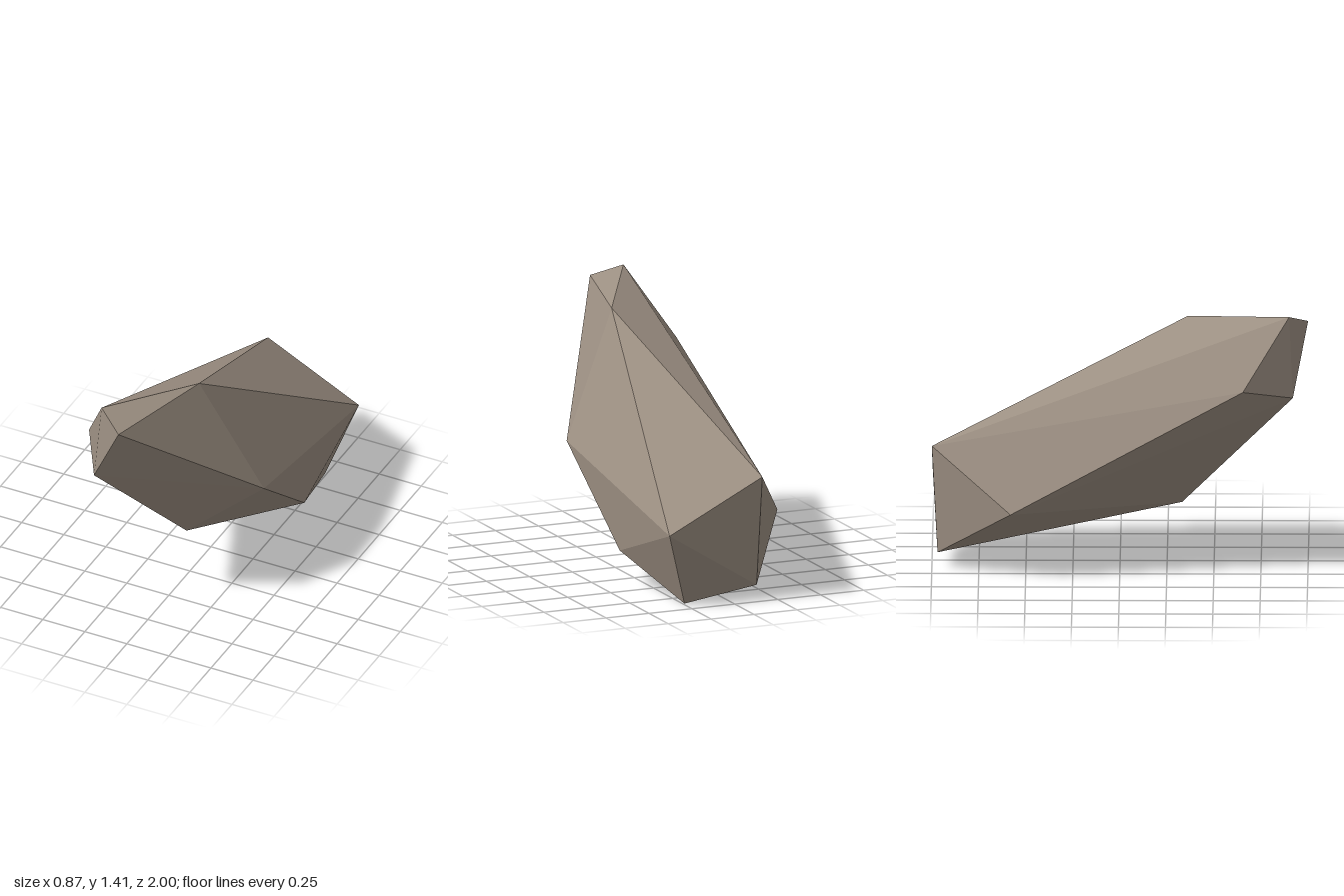
import * as THREE from 'three';
import { ConvexGeometry } from 'three/addons/geometries/ConvexGeometry.js';

const vec = (p) => new THREE.Vector3(...p);

// Corners of the whole leaning rock
const CORNERS = [
  [-0.20, 1.41, 0.90], [-0.05, 1.345, 1.0], [-0.235, 0.972, 0.92], [-0.397, 1.05, 0.655], // tip
  [0.11, 1.325, 0.36], [0.43, 0.66, 0.23], [0.02, 0.32, 0.33],                            // middle
  [0.38, 0.185, -0.35], [-0.435, 0.38, -0.58],                                           // flanks
  [-0.16, 0.68, -1.0], [0.38, 0.41, -1.0], [0.24, 0.0, -0.88], [-0.14, 0.085, -0.97],    // foot
].map(vec);

// Centres of the cracked pieces
const SEEDS = {
  tipPiece: [-0.2, 1.17, 0.75],
  lowerFrontPiece: [-0.05, 0.8, 0.55],
  upperMiddlePiece: [0.12, 0.87, 0.1],
  lowerMiddlePiece: [0.12, 0.38, 0.05],
  rightFlankPiece: [-0.25, 0.62, -0.08],
  backPiece: [0.15, 0.42, -0.55],
  footPiece: [-0.22, 0.32, -0.72],
};

// Cuts a convex solid with a plane, keeping the side behind it
function cut(geometry, plane) {
  const pos = geometry.attributes.position;
  const points = [];
  const add = (p) => {
    if (!points.some((q) => q.distanceTo(p) < 1e-4)) points.push(p);
  };
  const at = (i) => new THREE.Vector3().fromBufferAttribute(pos, i);
  for (let i = 0; i < pos.count; i++) {
    const a = at(i);
    const b = at(i % 3 === 2 ? i - 2 : i + 1);
    const da = plane.distanceToPoint(a);
    const db = plane.distanceToPoint(b);
    if (da <= 0) add(a);
    if (da * db < 0) add(a.clone().lerp(b, da / (da - db)));
  }
  return points.length > 3 ? new ConvexGeometry(points) : null;
}

export function createModel() {
  const rock = new THREE.Group();
  rock.name = 'crackedRock';
  const stone = new THREE.MeshStandardMaterial({ color: 0x9c8f82 });

  // Each piece is the part of the rock nearest to its own centre
  for (const [name, seed] of Object.entries(SEEDS)) {
    const centre = vec(seed);
    let piece = new ConvexGeometry(CORNERS);
    for (const other of Object.values(SEEDS)) {
      if (other === seed || !piece) continue;
      const far = vec(other);
      const normal = far.clone().sub(centre).normalize();
      const middle = far.add(centre).multiplyScalar(0.5);
      piece = cut(piece, new THREE.Plane().setFromNormalAndCoplanarPoint(normal, middle));
    }
    if (!piece) continue;
    const mesh = new THREE.Mesh(piece, stone);
    mesh.name = name;
    rock.add(mesh);
  }
  return rock;
}
